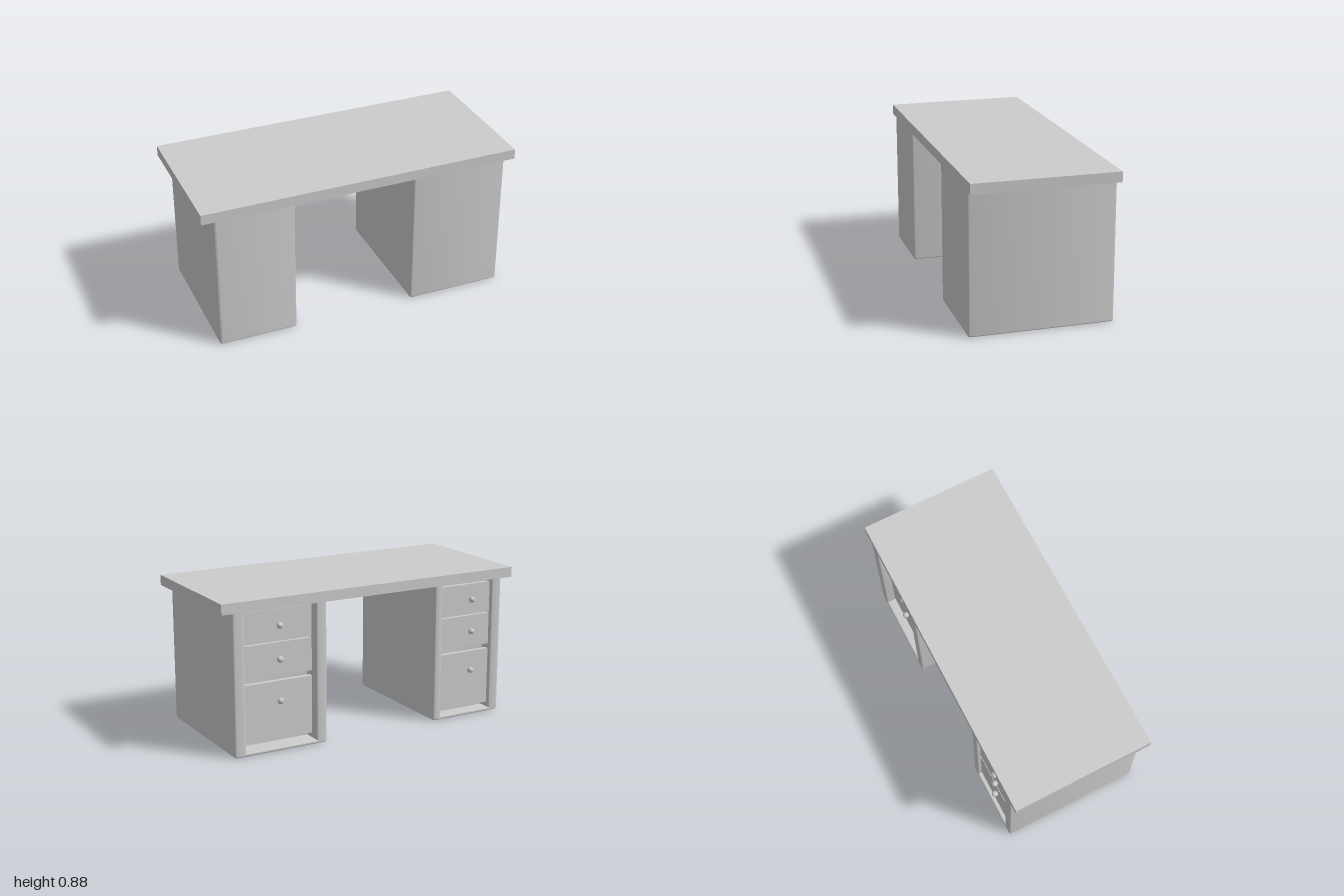
import * as THREE from 'three';
import { toCreasedNormals } from 'three/addons/utils/BufferGeometryUtils.js';

const HALF_DEPTH = 0.416;
const TOP_Y = 0.82;
const material = new THREE.MeshStandardMaterial({ color: 0xcccccc });

function addMesh(parent, name, geometry, x = 0, y = 0, z = 0) {
  const mesh = new THREE.Mesh(geometry, material);
  mesh.name = name;
  mesh.position.set(x, y, z);
  parent.add(mesh);
  return mesh;
}

// Closed outline with every corner rounded; points are [x, y, radius]
function roundedOutline(points) {
  const shape = new THREE.Shape();
  const n = points.length;
  points.forEach(([x, y, r], i) => {
    const corner = new THREE.Vector2(x, y);
    const toward = ([px, py]) =>
      new THREE.Vector2(px, py).sub(corner).normalize().multiplyScalar(r).add(corner);
    const a = toward(points[(i + n - 1) % n]);
    const b = toward(points[(i + 1) % n]);
    if (i === 0) shape.moveTo(a.x, a.y);
    else shape.lineTo(a.x, a.y);
    shape.quadraticCurveTo(x, y, b.x, b.y);
  });
  shape.closePath();
  return shape;
}

// Extrude a floor plan upwards (plan y points to the back, -z)
function extrudeUp(shape, options) {
  const geometry = new THREE.ExtrudeGeometry(shape, { curveSegments: 6, ...options });
  geometry.rotateX(-Math.PI / 2);
  return toCreasedNormals(geometry, 0.6);
}

function createPedestal(name, { x0, x1, open0, open1, recess, knobX }) {
  const group = new THREE.Group();
  group.name = name;
  const d = HALF_DEPTH;
  const r = 0.014;
  const notch = d - recess - 0.06;

  // Cabinet body with an open recess at the back
  const plan = roundedOutline([
    [x0, -d, r], [x1, -d, r], [x1, d, r], [open1, d, r],
    [open1, notch, 0.001], [open0, notch, 0.001], [open0, d, r], [x0, d, r],
  ]);
  addMesh(group, 'cabinetBody', extrudeUp(plan, { depth: TOP_Y - 0.01, bevelEnabled: false }), 0, 0.01);

  // Base plate with a rounded lower edge
  const b = 0.009;
  const basePlan = roundedOutline([
    [x0 + b, -d + b, 0.008], [x1 - b, -d + b, 0.008],
    [x1 - b, d - b, 0.008], [x0 + b, d - b, 0.008],
  ]);
  const base = extrudeUp(basePlan, {
    depth: 0.002, bevelThickness: b, bevelSize: b, bevelSegments: 4,
  });
  addMesh(group, 'basePlate', base, 0, b);

  // Drawer fronts: bottom, top and knob height
  const face = -d + recess;
  const width = open1 - open0 - 0.004;
  const drawers = [[0.05, 0.39, 0.277], [0.42, 0.612, 0.517], [0.619, 0.803, 0.71]];
  for (const [low, high, knobY] of drawers) {
    addMesh(group, 'drawerFront', new THREE.BoxGeometry(width, high - low, 0.03),
      (open0 + open1) / 2, (low + high) / 2, face + 0.015);
    addMesh(group, 'drawerKnob', new THREE.SphereGeometry(0.018, 24, 16), knobX, knobY, face - 0.016);
  }
  return group;
}

export function createModel() {
  const model = new THREE.Group();
  model.name = 'desk';

  addMesh(model, 'deskTop', new THREE.BoxGeometry(1.904, 0.06, 0.838), 0, TOP_Y + 0.03, 0);

  model.add(createPedestal('widePedestal',
    { x0: 0.311, x1: 0.887, open0: 0.377, open1: 0.818, recess: 0.054, knobX: 0.585 }));
  model.add(createPedestal('narrowPedestal',
    { x0: -0.88, x1: -0.414, open0: -0.815, open1: -0.465, recess: 0.023, knobX: -0.677 }));

  // The whole desk stands slightly turned
  model.rotation.y = -0.14;
  return model;
}
